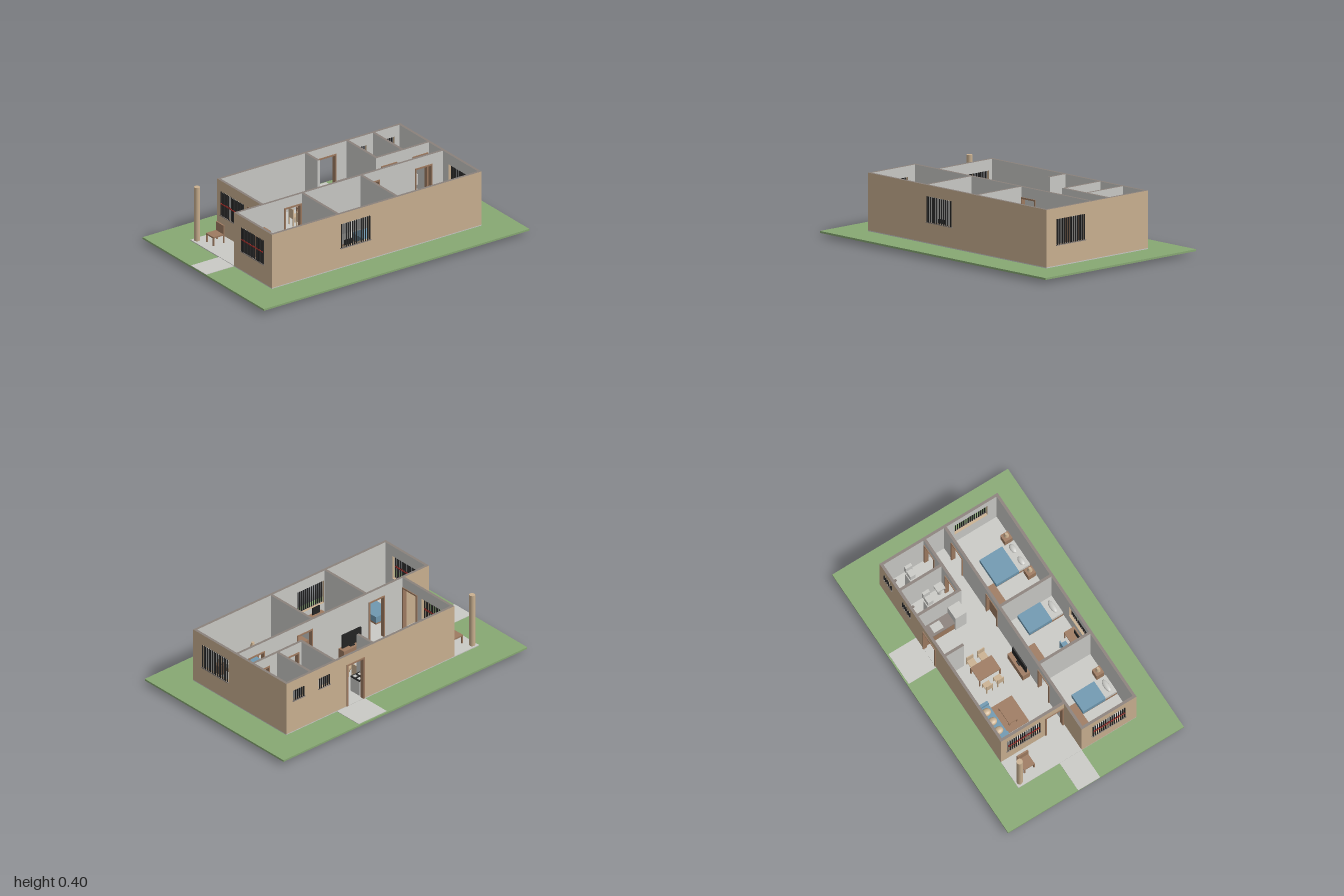
import * as THREE from 'three';

const mat = (name, color, side = THREE.FrontSide) => {
  const m = new THREE.MeshStandardMaterial({ color, side });
  m.name = name;
  return m;
};

export function createModel() {
  const root = new THREE.Group();
  root.name = 'house';
  const grass = mat('grass green', 0x87a873);
  const tan = mat('tan plaster', 0xc9b090);
  const white = mat('pale grey', 0xc9c9c5);
  const taupe = mat('taupe stone', 0x8a817b);
  const brown = mat('brown wood', 0x9d7a60);
  const blue = mat('blue fabric', 0x6f98b0);
  const black = mat('black metal', 0x242424);
  const red = mat('red metal', 0xa02c28);

  const F = 0.04, TOP = 0.4, T = 0.018; // floor level, wall top, wall thickness

  // Box given by its extents on each axis
  const box = (name, m, x0, x1, y0, y1, z0, z1, parent = root) => {
    const mesh = new THREE.Mesh(new THREE.BoxGeometry(x1 - x0, y1 - y0, z1 - z0), m);
    mesh.position.set((x0 + x1) / 2, (y0 + y1) / 2, (z0 + z1) / 2);
    mesh.name = name;
    parent.add(mesh);
    return mesh;
  };
  // Box along a wall: a..b runs along the axis, c0..c1 lies across it
  const along = (axis, name, m, a, b, y0, y1, c0, c1, parent) => axis === 'x'
    ? box(name, m, a, b, y0, y1, c0, c1, parent)
    : box(name, m, c0, c1, y0, y1, a, b, parent);
  const group = (name, x = 0, z = 0) => {
    const g = new THREE.Group();
    g.name = name;
    g.position.set(x, 0, z);
    root.add(g);
    return g;
  };

  // Ground, slab and paving
  box('lawn', grass, -0.64, 0.64, 0.022, 0.034, -1, 1);
  box('foundation', white, -0.43, 0.03, 0, F, -0.79, 0.79);
  box('foundation', white, 0.03, 0.43, 0, F, -0.79, 0.79);
  box('frontPath', white, -0.13, 0.03, 0.03, 0.037, 0.79, 1);
  box('sidePatio', white, -0.63, -0.43, 0.03, 0.037, -0.375, -0.145);

  // Wall with rectangular openings [from, to, bottom, top]; inner = index of the pale face
  const wall = (name, axis, c, a, b, openings = [], inner = -1) => {
    const g = group(name);
    const mats = [0, 1, 2, 3, 4, 5].map(i => i === 2 ? taupe : inner < 0 || i === inner ? white : tan);
    const lower = mats.map((m, i) => i === 2 ? (inner < 0 ? white : tan) : m);
    const piece = (m, p, q, y0, y1) => along(axis, 'wallPiece', m, p, q, y0, y1, c - T / 2, c + T / 2, g);
    let at = a;
    for (const [p, q, y0, y1] of openings) {
      piece(mats, at, p, F, TOP);
      if (y0 > F) piece(lower, p, q, F, y0);
      piece(mats, p, q, y1, TOP);
      if (y0 <= F) { // door lining
        const d = T / 2 + 0.005;
        along(axis, 'doorFrame', brown, p, p + 0.01, F, y1, c - d, c + d, g);
        along(axis, 'doorFrame', brown, q - 0.01, q, F, y1, c - d, c + d, g);
        along(axis, 'doorFrame', brown, p, q, y1 - 0.01, y1, c - d, c + d, g);
      }
      at = q;
    }
    piece(mats, at, b, F, TOP);
  };
  const door = (p, q) => [p, q, F, 0.335];
  const win = (p, q, y0 = 0.17) => [p, q, y0, 0.33];

  // Outer walls
  wall('leftWall', 'z', -0.421, -0.79, 0.59,
    [win(-0.735, -0.645, 0.26), win(-0.525, -0.435, 0.26), door(-0.295, -0.15)], 0);
  wall('rightWall', 'z', 0.421, -0.79, 0.79, [win(0.05, 0.27)], 1);
  wall('backWall', 'x', -0.781, -0.43, 0.43, [win(0.105, 0.345)], 4);
  wall('livingFrontWall', 'x', 0.581, -0.43, 0.03, [win(-0.385, -0.145), door(-0.107, 0.027)], 5);
  wall('bedroomFrontWall', 'x', 0.781, 0.03, 0.43, [win(0.108, 0.348)], 5);
  wall('porchSideWall', 'z', 0.039, 0.59, 0.79, [], 0);
  // Inner walls
  wall('corridorWall', 'z', 0.039, -0.775, 0.59,
    [door(-0.69, -0.56), door(-0.295, -0.165), door(0.295, 0.425)]);
  wall('bedroomDivider', 'x', -0.16, 0.045, 0.415);
  wall('bedroomDivider', 'x', 0.283, 0.045, 0.415);
  wall('bathroomWall', 'z', -0.11, -0.775, -0.375, [door(-0.765, -0.65), door(-0.53, -0.41)]);
  wall('bathroomDivider', 'x', -0.58, -0.415, -0.11);
  wall('bathroomDivider', 'x', -0.382, -0.415, -0.1);
  wall('kitchenPartition', 'x', -0.07, -0.415, -0.28);

  // Window grilles just outside the wall face; dir is the outward sign
  const grille = (axis, face, dir, a, b, y0, rail) => {
    const g = group('windowGrille');
    const lo = Math.min(face, face + dir * 0.006), hi = Math.max(face, face + dir * 0.006);
    const n = Math.round((b - a) / 0.0165);
    for (let i = 0; i <= n; i++) {
      const p = a + 0.005 + (b - a - 0.01) * i / n;
      along(axis, 'bar', black, p - 0.003, p + 0.003, y0, 0.33, lo, hi, g);
    }
    if (rail) along(axis, 'rail', red, a + 0.005, b - 0.005, 0.247, 0.254, lo - 0.002, hi + 0.002, g);
    along(axis, 'sill', taupe, a - 0.005, b + 0.005, y0 - 0.005, y0, lo - 0.002, hi + 0.002, g);
  };
  grille('x', 0.59, 1, -0.385, -0.145, 0.17, true);
  grille('x', 0.79, 1, 0.108, 0.348, 0.17, true);
  grille('x', -0.79, -1, 0.105, 0.345, 0.17);
  grille('z', 0.43, 1, 0.05, 0.27, 0.17);
  grille('z', -0.43, -1, -0.735, -0.645, 0.26);
  grille('z', -0.43, -1, -0.525, -0.435, 0.26);

  const cyl = (name, m, r0, r1, x, y0, y1, z, parent = root, sides = 20) => {
    const mesh = new THREE.Mesh(new THREE.CylinderGeometry(r0, r1, y1 - y0, sides), m);
    mesh.position.set(x, (y0 + y1) / 2, z);
    mesh.name = name;
    parent.add(mesh);
  };
  const pillow = (m, x, y, z, sx, sy, sz) => {
    const mesh = new THREE.Mesh(new THREE.SphereGeometry(1, 16, 10), m);
    mesh.position.set(x, y, z);
    mesh.scale.set(sx, sy, sz);
    mesh.name = 'pillow';
    root.add(mesh);
  };
  // Slab on four legs, for tables and chairs
  const table = (name, m, x0, x1, z0, z1, top, leg = 0.008) => {
    const g = group(name);
    box('top', m, x0, x1, top - 0.01, top, z0, z1, g);
    for (const x of [x0, x1 - leg]) for (const z of [z0, z1 - leg])
      box('leg', m, x, x + leg, F, top - 0.01, z, z + leg, g);
    return g;
  };

  // Porch
  cyl('porchColumn', tan, 0.019, 0.019, -0.402, F, TOP, 0.76);
  const porchChair = table('porchChair', brown, -0.35, -0.272, 0.645, 0.73, 0.1);
  box('chairBack', brown, -0.35, -0.272, 0.095, 0.158, 0.645, 0.655, porchChair);

  // Living room
  box('rug', brown, -0.3, -0.14, F, F + 0.004, 0.26, 0.46);
  table('coffeeTable', brown, -0.26, -0.2, 0.3, 0.42, 0.08);
  const sofa = group('sofa');
  box('sofaSeat', blue, -0.41, -0.3, F, 0.09, 0.23, 0.485, sofa);
  box('sofaBack', blue, -0.41, -0.38, 0.09, 0.14, 0.23, 0.485, sofa);
  for (const z of [0.23, 0.465]) box('sofaArm', blue, -0.41, -0.3, 0.09, 0.115, z, z + 0.02, sofa);
  for (const z of [0.29, 0.36, 0.43]) pillow(tan, -0.345, 0.108, z, 0.032, 0.02, 0.026);
  box('televisionStand', brown, -0.03, 0.022, F, 0.112, 0.04, 0.215);
  box('televisionFoot', black, -0.012, 0.012, 0.112, 0.118, 0.11, 0.145);
  box('television', black, -0.003, 0.006, 0.118, 0.212, 0.05, 0.205);

  // Dining set
  table('diningTable', brown, -0.275, -0.12, 0, 0.105, 0.135);
  for (const x of [-0.24, -0.16]) for (const s of [-1, 1]) {
    const z = 0.053 + s * 0.09;
    const chair = table('diningChair', tan, x - 0.024, x + 0.024, z - 0.026, z + 0.026, 0.1, 0.006);
    const back = z + s * 0.023;
    box('chairBack', tan, x - 0.024, x + 0.024, 0.1, 0.155, back - 0.003, back + 0.003, chair);
  }

  // Kitchen
  box('kitchenCabinet', brown, -0.41, -0.2, F, 0.14, -0.373, -0.295);
  box('kitchenCounter', taupe, -0.412, -0.2, 0.14, 0.15, -0.373, -0.29);
  box('kitchenSink', white, -0.342, -0.272, 0.148, 0.152, -0.36, -0.305);
  box('refrigerator', white, -0.2, -0.118, F, 0.24, -0.373, -0.285);
  box('stoveBody', white, -0.39, -0.31, F, 0.14, -0.155, -0.08);
  box('stoveTop', black, -0.392, -0.308, 0.14, 0.146, -0.157, -0.078);
  for (const x of [-0.37, -0.33]) for (const z of [-0.137, -0.098])
    box('burner', white, x - 0.011, x + 0.011, 0.146, 0.149, z - 0.011, z + 0.011);

  // Bathrooms: toilet, basin, shower screen and shower head
  const bathroom = (toiletZ, basinZ, screenZ0, screenZ1) => {
    const g = group('bathroom');
    box('toiletTank', white, -0.262, -0.215, 0.07, 0.14, toiletZ, toiletZ + 0.02, g);
    box('toiletBowl', white, -0.257, -0.22, F, 0.092, toiletZ + 0.02, toiletZ + 0.065, g);
    cyl('basinStand', white, 0.01, 0.014, -0.152, F, 0.13, basinZ, g);
    box('basin', white, -0.18, -0.124, 0.13, 0.15, basinZ - 0.025, basinZ + 0.025, g);
    box('showerScreen', white, -0.308, -0.302, F, 0.27, screenZ0, screenZ1, g);
    const headZ = (screenZ0 + screenZ1) / 2 - 0.04;
    box('showerArm', taupe, -0.412, -0.385, 0.3, 0.304, headZ - 0.002, headZ + 0.002, g);
    cyl('showerHead', taupe, 0.004, 0.009, -0.385, 0.29, 0.304, headZ, g);
  };
  bathroom(-0.772, -0.615, -0.69, -0.589);
  bathroom(-0.571, -0.543, -0.482, -0.391);

  // Bedrooms
  const bed = (z0, z1, pillows) => {
    const g = group('bed');
    box('bedBase', brown, 0.165, 0.41, F, 0.065, z0, z1, g);
    box('mattress', white, 0.165, 0.408, 0.065, 0.092, z0, z1, g);
    box('blanket', blue, 0.16, 0.325, 0.055, 0.097, z0 - 0.003, z1 + 0.003, g);
    for (const z of pillows) pillow(white, 0.372, 0.1, z, 0.019, 0.012, z1 - z0 > 0.15 ? 0.033 : 0.045);
  };
  bed(-0.57, -0.385, [-0.525, -0.43]);
  bed(-0.14, -0.01, [-0.075]);
  bed(0.475, 0.6, [0.538]);
  for (const z of [-0.612, -0.345, 0.43]) {
    box('nightstand', brown, 0.353, 0.408, F, 0.1, z - 0.027, z + 0.027);
    cyl('lampStem', black, 0.004, 0.01, 0.38, 0.1, 0.125, z);
    cyl('lampShade', tan, 0.009, 0.017, 0.38, 0.12, 0.15, z);
  }
  for (const [z0, z1] of [[-0.352, -0.18], [0.11, 0.25], [0.575, 0.73]])
    box('wardrobe', brown, 0.049, 0.122, F, 0.25, z0, z1);
  table('desk', brown, 0.333, 0.408, 0.115, 0.24, 0.135);
  box('monitor', black, 0.383, 0.389, 0.14, 0.19, 0.15, 0.21);
  const deskChair = table('deskChair', blue, 0.275, 0.32, 0.155, 0.205, 0.1, 0.006);
  box('chairBack', blue, 0.275, 0.281, 0.1, 0.155, 0.155, 0.205, deskChair);

  return root;
}
